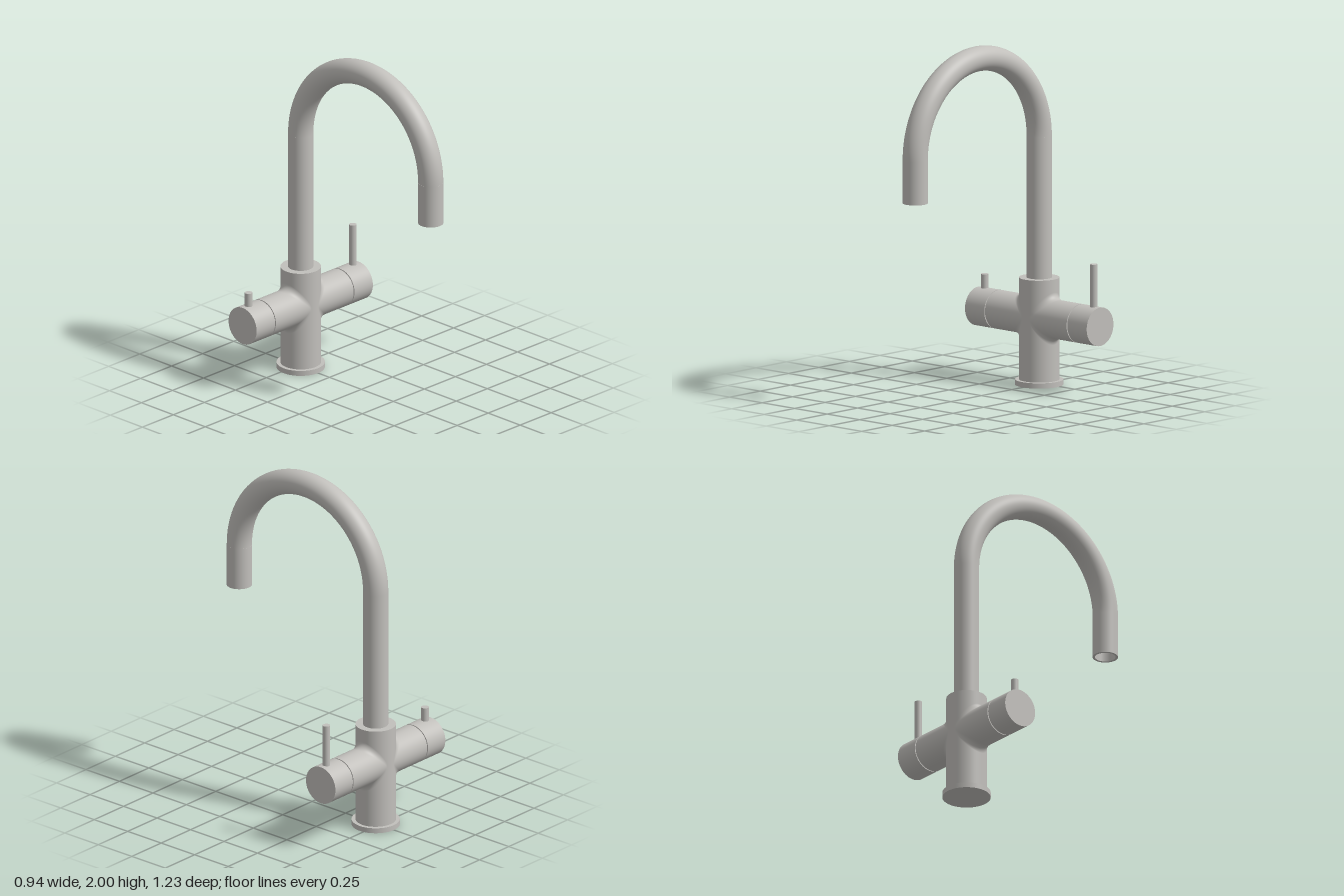
import * as THREE from 'three';
import { ParametricGeometry } from 'three/addons/geometries/ParametricGeometry.js';

const BODY_Z = -0.475, TIP_Z = 0.543;   // axes of the column and of the outlet
const COLUMN_R = 0.114, ARM_R = 0.11, ARM_Y = 0.388, PIPE_R = 0.071;
const FILLET = 0.04;

export function createModel() {
  const model = new THREE.Group();
  model.name = 'kitchenTap';
  const steel = new THREE.MeshStandardMaterial({ color: 0xc1bfbb });
  steel.name = 'brushedSteel';

  const add = (parent, name, geometry) => {
    const mesh = new THREE.Mesh(geometry, steel);
    mesh.name = name;
    parent.add(mesh);
    return mesh;
  };
  // upright rod between two heights
  const rod = (parent, name, r, y0, y1, x = 0, z = 0) =>
    add(parent, name, new THREE.CylinderGeometry(r, r, y1 - y0, 64)).position.set(x, (y0 + y1) / 2, z);
  // rod lying along x
  const bar = (parent, name, r, x0, x1) => {
    const g = new THREE.CylinderGeometry(r, r, x1 - x0, 64).rotateZ(-Math.PI / 2);
    add(parent, name, g).position.x = (x0 + x1) / 2;
  };

  // Body: base flange and column
  rod(model, 'baseFlange', 0.136, 0, 0.03, 0, BODY_Z);
  rod(model, 'column', COLUMN_R, 0.03, 0.612, 0, BODY_Z);

  // Rolling-ball fillet where an arm meets the column
  const filletPoint = (u, v, target) => {
    const t = -u * Math.PI * 2;
    const a = ARM_R + FILLET, c = COLUMN_R + FILLET;
    const y = a * Math.cos(t), z = a * Math.sin(t);
    const x = Math.sqrt(c * c - z * z);
    const toArm = new THREE.Vector3(0, -y / a, -z / a);
    const toColumn = new THREE.Vector3(-x / c, 0, -z / c);
    const angle = toArm.angleTo(toColumn);
    const s = Math.sin(angle);
    target.set(x, y, z)
      .addScaledVector(toArm, FILLET * Math.sin((1 - v) * angle) / s)
      .addScaledVector(toColumn, FILLET * Math.sin(v * angle) / s);
  };

  // Arms with rotating end caps and levers
  for (const [side, leverTop] of [['left', 0.74], ['right', 0.577]]) {
    const arm = new THREE.Group();
    arm.name = side + 'Arm';
    arm.position.set(0, ARM_Y, BODY_Z);
    if (side === 'right') arm.rotation.y = Math.PI;
    bar(arm, 'armTube', ARM_R, 0, 0.313);
    bar(arm, 'groove', 0.104, 0.31, 0.325);
    bar(arm, 'handleCap', ARM_R, 0.32, 0.468);
    add(arm, 'armFillet', new ParametricGeometry(filletPoint, 96, 10));
    rod(arm, 'lever', 0.0215, 0.09, leverTop - ARM_Y, 0.42);
    model.add(arm);
  }

  // Swan-neck spout
  const bendR = (TIP_Z - BODY_Z) / 2;
  const bendY = 2 - PIPE_R - bendR;
  rod(model, 'spoutRiser', PIPE_R, 0.6, bendY, 0, BODY_Z);
  const bend = new THREE.TorusGeometry(bendR, PIPE_R, 48, 96, Math.PI).rotateY(Math.PI / 2);
  add(model, 'spoutBend', bend).position.set(0, bendY, (TIP_Z + BODY_Z) / 2);

  // Hollow outlet; doubled profile points keep its rims sharp
  const corners = [[0.058, 1.33], [0.058, 1.174], [PIPE_R + 0.0005, 1.174], [PIPE_R + 0.0005, bendY]];
  const profile = [[0, 1.33], ...corners.flatMap(p => [p, p]), [0, bendY]];
  const outlet = new THREE.LatheGeometry(profile.map(p => new THREE.Vector2(...p)), 64);
  add(model, 'outlet', outlet).position.z = TIP_Z;

  return model;
}
